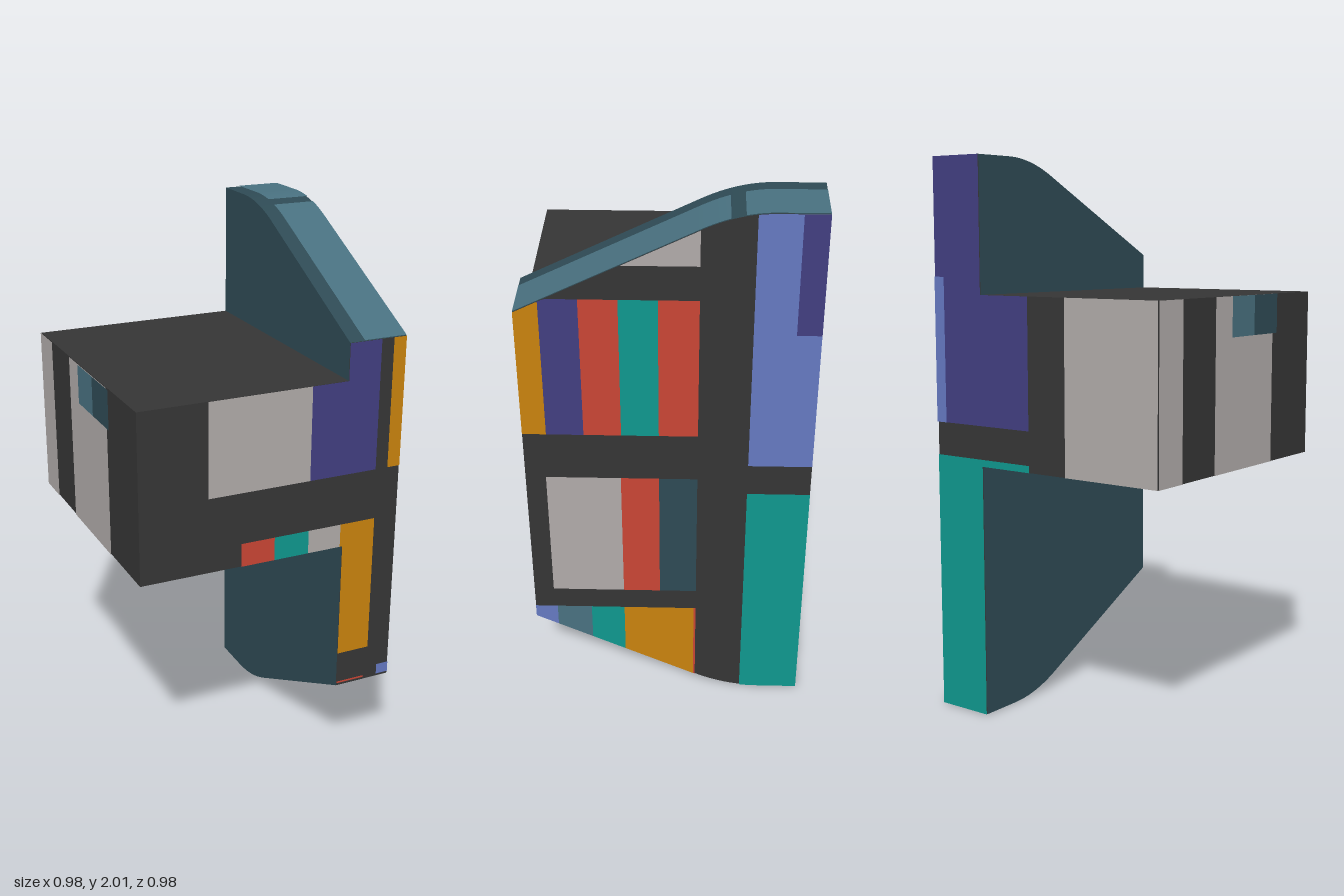
import * as THREE from 'three';

const paint = (name, color) => {
  const m = new THREE.MeshStandardMaterial({ color });
  m.name = name;
  return m;
};

const H = 0.485;    // half width and half depth
const INNER = 0.27; // inner face of the upright panel
const LIFT = 0.003; // painted faces sit just above the body

// Upper edge of the side panel at depth z; the lower edge mirrors it about y = 1
function edge(z) {
  if (z >= -0.1) return 1.65 + (H - z) * 0.5;
  if (z <= -0.33) return 2;
  return 2 - 0.0575 * ((z + 0.33) / 0.23) ** 2;
}

export function createModel() {
  const charcoal = paint('charcoal', 0x353535);
  const deep = paint('deep teal', 0x2e4a54);
  const steel = paint('steel blue', 0x48707f);
  const grey = paint('warm grey', 0xafaaa8);
  const red = paint('red', 0xc84534);
  const teal = paint('teal', 0x0f978d);
  const orange = paint('orange', 0xc8820e);
  const navy = paint('navy', 0x413e80);
  const blue = paint('periwinkle', 0x6478c0);

  const model = new THREE.Group();
  const add = (name, geo, mat, parent = model) => {
    const mesh = new THREE.Mesh(geo, mat);
    mesh.name = name;
    parent.add(mesh);
    return mesh;
  };

  // Projecting block
  add('block', new THREE.BoxGeometry(H + INNER, 0.605, 2 * H), charcoal)
    .position.set((INNER - H) / 2, 1.2175, 0);

  // Upright side panel, outlined in depth and height
  const zs = [H, -0.1];
  for (let i = 1; i <= 12; i++) zs.push(-0.1 - 0.23 * i / 12);
  zs.push(-H);
  const outline = [
    ...zs.map(z => new THREE.Vector2(z, 2 - edge(z))),
    ...zs.slice().reverse().map(z => new THREE.Vector2(z, edge(z))),
  ];
  const panel = new THREE.ExtrudeGeometry(new THREE.Shape(outline), { depth: H - INNER, bevelEnabled: false });
  panel.rotateY(-Math.PI / 2).translate(H, 0, 0);
  // Charcoal on the outer, front and back faces, deep teal elsewhere
  panel.clearGroups();
  const n = panel.attributes.normal;
  for (let i = 0; i < n.count; i += 3) {
    const dark = n.getX(i) > 0.9 || Math.abs(n.getZ(i)) > 0.99;
    panel.addGroup(i, 3, dark ? 0 : 1);
  }
  add('sidePanel', panel, [charcoal, deep]);

  // Painted faces: turn about y, sign of the local axis, offset of the face
  const sides = {
    front: { turn: 0, sign: 1, offset: [0, 0, H + LIFT] },
    back: { turn: Math.PI, sign: -1, offset: [0, 0, -H - LIFT] },
    outer: { turn: Math.PI / 2, sign: -1, offset: [H + LIFT, 0, 0] },
    inner: { turn: -Math.PI / 2, sign: 1, offset: [-H - LIFT, 0, 0] },
  };
  function paintSide(key, list) {
    const { turn, sign, offset } = sides[key];
    const group = new THREE.Group();
    group.name = key + 'Patches';
    model.add(group);
    for (const [mat, a0, a1, y0, y1, layer = 0] of list) {
      const low = [], high = [];
      const steps = key === 'outer' ? 10 : 1;
      for (let i = 0; i <= steps; i++) {
        const a = a0 + (a1 - a0) * i / steps;
        const top = key === 'outer' ? Math.min(y1, edge(a)) : y1;
        const bottom = key === 'outer' ? Math.max(y0, 2 - edge(a)) : y0;
        low.push(new THREE.Vector2(a * sign, bottom));
        high.unshift(new THREE.Vector2(a * sign, top));
      }
      const geo = new THREE.ShapeGeometry(new THREE.Shape([...low, ...high]));
      geo.translate(0, 0, layer * LIFT).rotateY(turn).translate(...offset);
      add(mat.name + ' patch', geo, mat, group);
    }
  }

  // Rows: colour, start, end, bottom, top, layer
  paintSide('outer', [
    [orange, 0.405, H, 1.18, 1.7],
    [navy, 0.28, 0.405, 1.18, 1.7],
    [red, 0.155, 0.28, 1.18, 1.7],
    [teal, 0.03, 0.155, 1.18, 1.7],
    [red, -0.1, 0.03, 1.18, 1.7],
    [grey, -0.1, 0.144, 1.82, 2],
    [blue, -H, -0.27, 1.06, 2],
    [navy, -H, -0.405, 1.58, 2, 1],
    [teal, -H, -0.27, 0, 0.94],
    [grey, 0.16, 0.415, 0.485, 1],
    [red, 0.03, 0.16, 0.485, 1],
    [deep, -0.1, 0.03, 0.485, 1],
    [blue, 0.405, H, 0, 0.4],
    [steel, 0.28, 0.405, 0, 0.4],
    [teal, 0.16, 0.28, 0, 0.4],
    [orange, -0.093, 0.16, 0, 0.4],
    [red, -0.1, -0.093, 0, 0.4],
  ]);
  paintSide('front', [
    [grey, -0.24, 0.135, 1.185, 1.52],
    [navy, 0.135, INNER, 1.185, 1.52],
    [navy, INNER, 0.39, 1.185, 1.65],
    [orange, 0.437, H, 1.185, 1.65],
    [red, -0.12, 0.005, 0.915, 1],
    [teal, 0.005, 0.135, 0.915, 1],
    [grey, 0.135, 0.26, 0.915, 1],
    [orange, 0.26, INNER, 0.915, 1],
    [orange, INNER, 0.395, 0.485, 1],
    [red, INNER, 0.38, 0.36, 0.367],
    [blue, 0.437, H, 0.36, 0.4],
  ]);
  paintSide('back', [
    [navy, INNER, H, 1.06, 2],
    [navy, 0.055, INNER, 1.06, 1.52],
    [blue, 0.44, H, 1.06, 1.58, 1],
    [teal, INNER, H, 0, 0.94],
    [teal, 0.055, INNER, 0.915, 0.94],
    [grey, -H, -0.105, 0.915, 1.52],
  ]);
  paintSide('inner', [
    [grey, -H, -0.35, 0.915, 1.52],
    [grey, -0.155, 0.22, 0.915, 1.52],
    [steel, -0.055, 0.09, 1.38, 1.52, 1],
    [deep, 0.09, 0.245, 1.38, 1.52, 1],
  ]);

  // Steel strips following the upper and lower edges of the panel
  for (const up of [1, -1]) {
    for (const [z0, z1] of [[-0.19, H], [-H, -0.235]]) {
      const geo = new THREE.PlaneGeometry(H - 0.325, z1 - z0, 1, 40);
      geo.rotateX(-up * Math.PI / 2).translate((H + 0.325) / 2, 0, (z0 + z1) / 2);
      const p = geo.attributes.position;
      for (let i = 0; i < p.count; i++) p.setY(i, 1 + up * (edge(p.getZ(i)) - 1 + LIFT));
      geo.computeVertexNormals();
      add(up > 0 ? 'upperEdgeStrip' : 'lowerEdgeStrip', geo, steel);
    }
  }
  return model;
}
